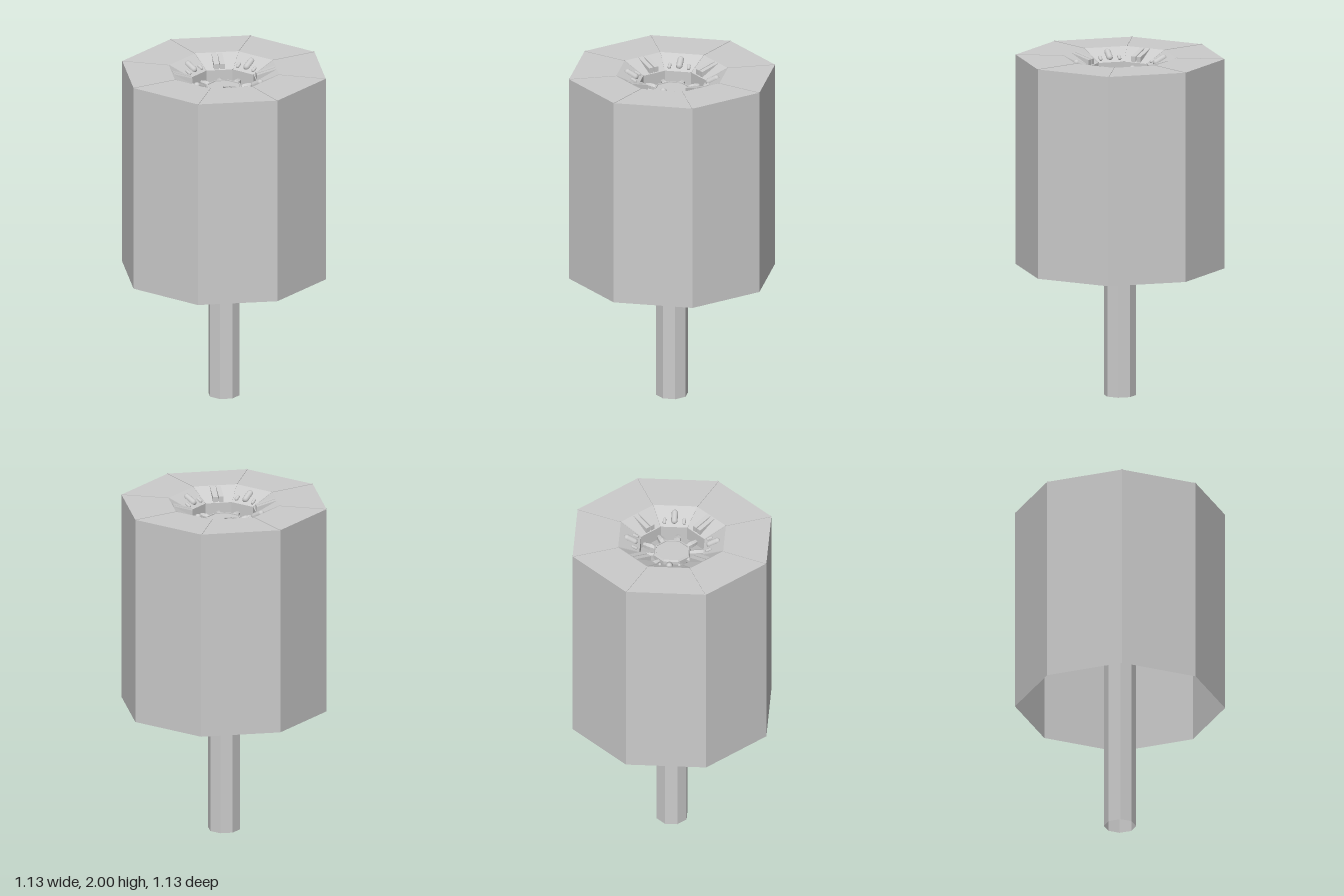
import * as THREE from 'three';

const C8 = Math.cos(Math.PI / 8);
const TOP = 1.997, LIP = 1.93;
const R_OUT = 0.563, R_RIM = 0.305, R_THROAT = 0.185;  // distances to the flats

const flat = new THREE.MeshStandardMaterial({ color: 0xcccccc, flatShading: true, side: THREE.DoubleSide });
const smooth = new THREE.MeshStandardMaterial({ color: 0xcccccc });

function add(parent, name, geometry, material = flat) {
  const mesh = new THREE.Mesh(geometry, material);
  mesh.name = name;
  parent.add(mesh);
  return mesh;
}

// Octagonal solid of revolution with flats on the axes; points are [apothem, y]
function octagon(points) {
  const profile = points.map(([a, y]) => new THREE.Vector2(a / C8, y));
  const g = new THREE.LatheGeometry(profile, 8, Math.PI / 8).toNonIndexed();
  g.computeVertexNormals();
  return g;
}

// Group turned so that its local +z points outwards at the given angle
function spoke(parent, name, angle) {
  const g = new THREE.Group();
  g.name = name;
  g.rotation.y = angle;
  parent.add(g);
  return g;
}

// Thin strip between two [radius, y] points in the local z-y plane
function strip(parent, name, [r0, y0], [r1, y1], w, h) {
  const m = add(parent, name, new THREE.BoxGeometry(w, h, Math.hypot(r1 - r0, y1 - y0)));
  m.position.set(0, (y0 + y1) / 2, (r0 + r1) / 2);
  m.rotation.x = -Math.atan2(y1 - y0, r1 - r0);
}

// Radial fin standing on the sloping funnel
function finGeometry(width) {
  const s = new THREE.Shape();
  s.moveTo(-0.19, LIP - 0.01);
  s.lineTo(-0.19, LIP + 0.035);
  s.lineTo(-0.3, TOP);
  s.lineTo(-0.3, TOP - 0.01);
  const g = new THREE.ExtrudeGeometry(s, { depth: width, bevelEnabled: false });
  g.translate(0, 0, -width / 2);
  g.rotateY(Math.PI / 2);
  return g;
}

// Rounded stud lying along the slope
function stud(parent, x, r, radius, length) {
  const g = new THREE.CapsuleGeometry(radius, length, 6, 12);
  g.rotateX(Math.PI / 2);
  const m = add(parent, 'funnelStud', g, smooth);
  const slope = (TOP - LIP) / (R_RIM - R_THROAT);
  m.position.set(x, LIP + (r - R_THROAT) * slope + 0.004, r);
  m.rotation.x = -Math.atan(slope);
}

export function createModel() {
  const model = new THREE.Group();
  model.name = 'octagonalDrum';

  // Thin shell: side walls, top panels, funnel and throat, open below
  add(model, 'shell', octagon([
    [R_OUT, 0.76], [R_OUT, TOP], [R_RIM, TOP], [R_THROAT, LIP], [R_THROAT, 1.85],
  ]));

  // Hollow post, closed at the top by a stepped collar
  add(model, 'post', octagon([
    [0.087, 0], [0.087, 1.86], [0.104, 1.865], [0.104, 1.89],
    [0.097, 1.9], [0.09, 1.9], [0.09, 1.895], [0, 1.895],
  ]));

  // Seam strips on the corners of the top and funnel
  for (let i = 0; i < 8; i++) {
    const seam = spoke(model, 'seam', Math.PI / 8 + i * Math.PI / 4);
    strip(seam, 'topSeam', [R_RIM / C8, TOP], [R_OUT / C8 - 0.002, TOP], 0.009, 0.006);
    strip(seam, 'funnelSeam', [R_THROAT / C8, LIP], [R_RIM / C8, TOP], 0.006, 0.005);
  }

  // Twin fins on the axis sides, three studs on the diagonal sides
  const fin = finGeometry(0.028);
  for (let i = 0; i < 8; i++) {
    const side = spoke(model, i % 2 ? 'studCluster' : 'finPair', i * Math.PI / 4);
    if (i % 2) {
      stud(side, 0, 0.24, 0.019, 0.05);
      for (const s of [-1, 1]) stud(side, s * 0.057, 0.215, 0.01, 0.02);
    } else {
      for (const s of [-1, 1]) add(side, 'fin', fin).position.x = s * 0.0175;
    }
  }

  // Spindle-shaped spokes holding the post inside the throat
  const spindle = new THREE.LatheGeometry(
    [[0.01, 0.085], [0.015, 0.105], [0.022, 0.14], [0.02, 0.165], [0.014, 0.19]]
      .map(([r, y]) => new THREE.Vector2(r, y)), 6);
  spindle.rotateX(Math.PI / 2);
  for (let i = 0; i < 10; i++) {
    const arm = spoke(model, 'arm', i * Math.PI / 5);
    add(arm, 'armSpindle', spindle).position.y = 1.87;
  }
  return model;
}
